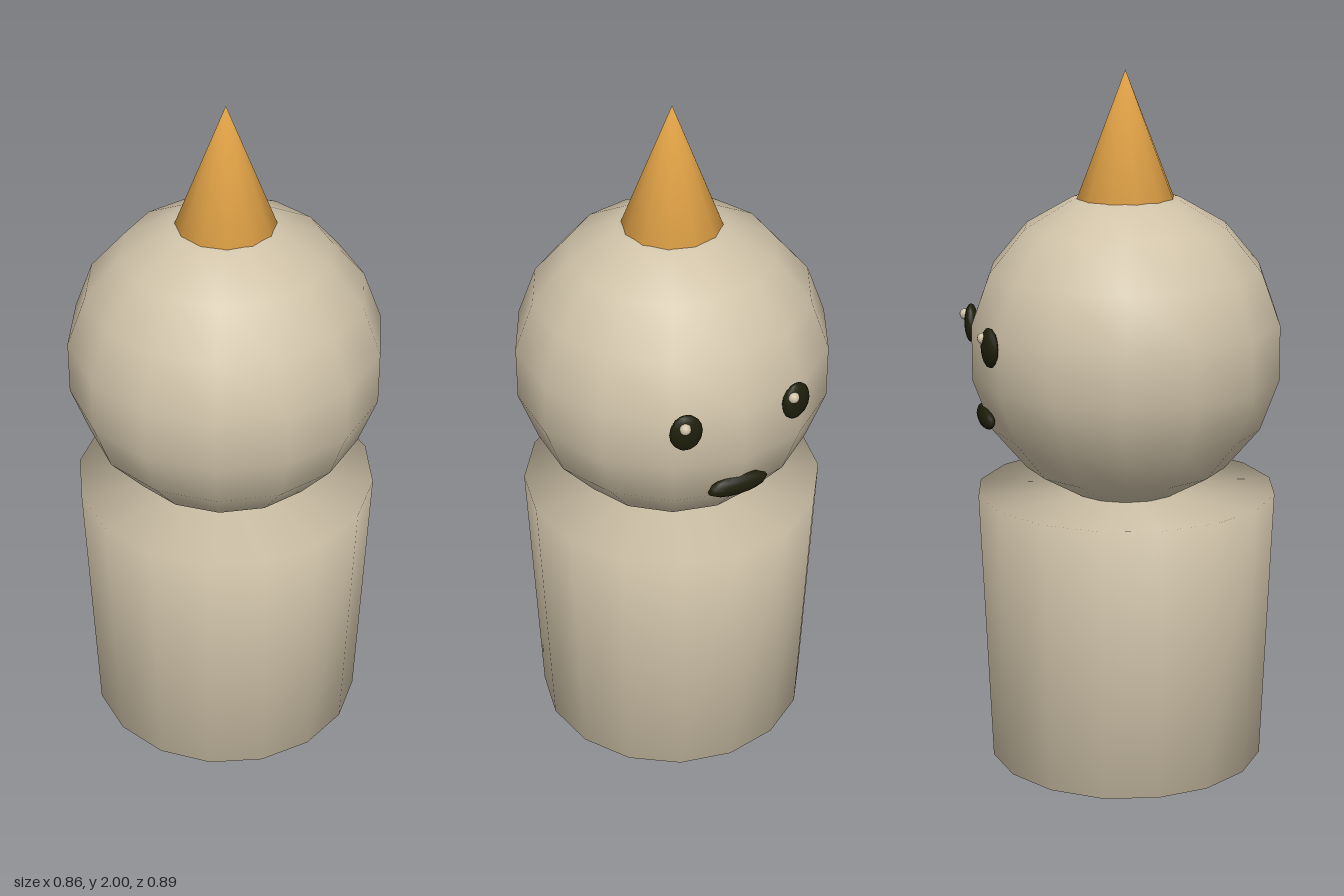
import * as THREE from 'three';
import { mergeVertices } from 'three/addons/utils/BufferGeometryUtils.js';

const material = (name, color) => {
  const m = new THREE.MeshStandardMaterial({ color });
  m.name = name;
  return m;
};

// Weld all vertices so normals blend over every edge, caps included
function smooth(geometry) {
  geometry.deleteAttribute('normal');
  geometry.deleteAttribute('uv');
  const welded = mergeVertices(geometry);
  welded.computeVertexNormals();
  return welded;
}

export function createModel() {
  const sand = material('sand', 0xd0c3a9);
  const orange = material('orange', 0xe5a548);
  const dark = material('nearBlack', 0x1f1f0c);

  const model = new THREE.Group();
  model.name = 'figure';
  const add = (name, geometry, mat, x, y, z) => {
    const mesh = new THREE.Mesh(smooth(geometry), mat);
    mesh.name = name;
    mesh.position.set(x, y, z);
    model.add(mesh);
    return mesh;
  };
  const cz = 0.004;

  // Tapered body, head and pointed hat
  add('body', new THREE.CylinderGeometry(0.432, 0.4, 0.8, 16), sand, 0, 0.4, cz);
  add('head', new THREE.SphereGeometry(0.45, 14, 9).rotateY(Math.PI / 2), sand, 0, 1.22, cz);
  add('hat', new THREE.ConeGeometry(0.141, 0.36, 12), orange, 0, 1.82, cz / 2);

  // Face on the rear side: flattened eyes with glints, and a wide mouth
  for (const side of [-1, 1]) {
    const label = side > 0 ? 'left' : 'right';
    const eye = add(label + 'Eye', new THREE.SphereGeometry(1, 12, 8).scale(0.046, 0.056, 0.02),
      dark, side * 0.165, 1.271, -0.415);
    eye.rotation.y = -side * 0.2;
    add(label + 'EyeGlint', new THREE.SphereGeometry(0.016, 10, 8), sand,
      side * 0.162 + 0.013, 1.295, -0.431);
  }
  add('mouth', new THREE.SphereGeometry(1, 12, 8).scale(0.092, 0.032, 0.023), dark, 0, 1.035, -0.402);

  return model;
}
